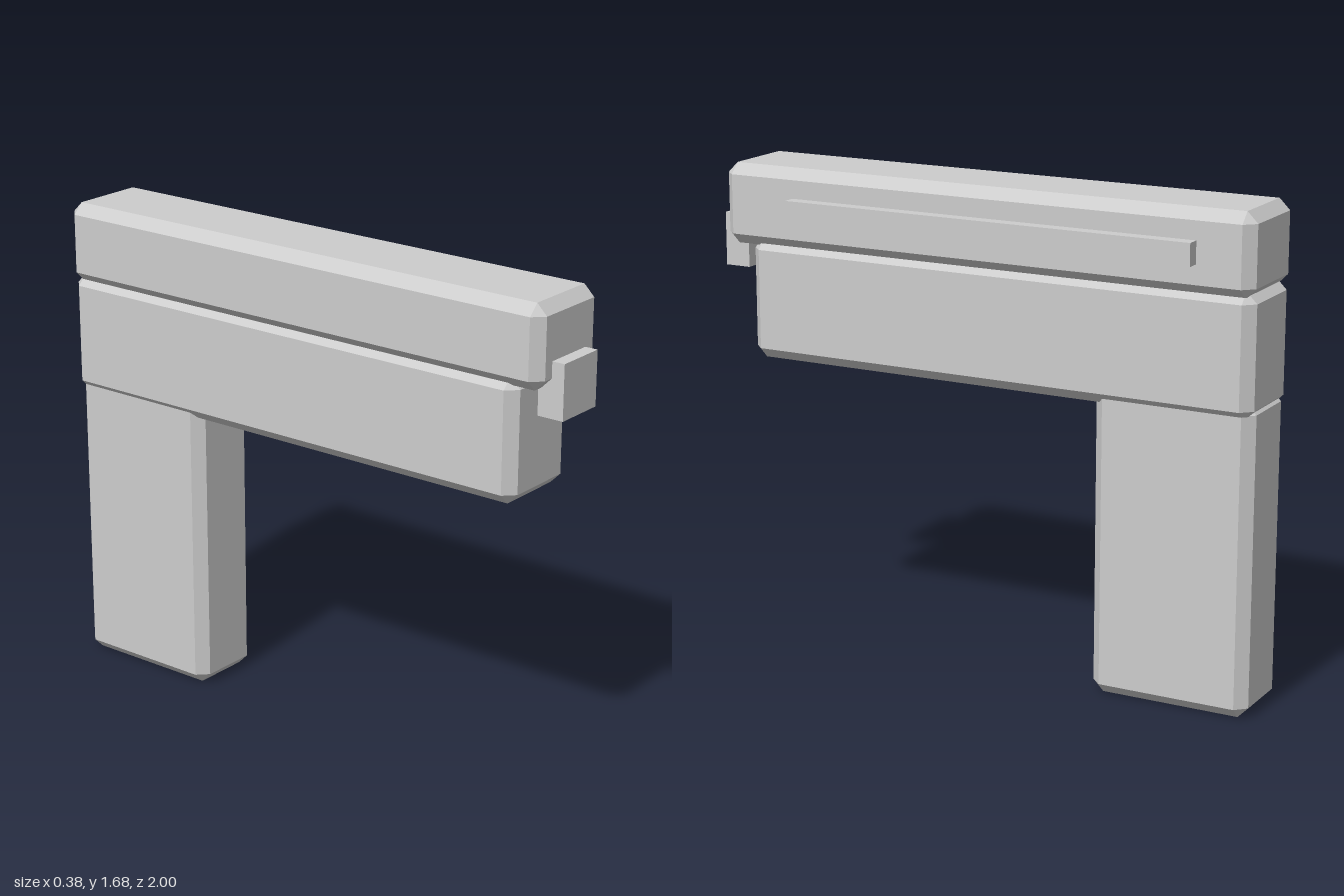
import * as THREE from 'three';
import { ConvexGeometry } from 'three/addons/geometries/ConvexGeometry.js';

const grey = new THREE.MeshStandardMaterial({ color: 0xcccccc });
grey.name = 'light grey';

// Box between two corners with all edges cut at 45 degrees by c
function chamferedBox(min, max, c) {
  const center = min.map((v, i) => (v + max[i]) / 2);
  const half = min.map((v, i) => (max[i] - v) / 2);
  const points = [];
  for (const sx of [-1, 1]) for (const sy of [-1, 1]) for (const sz of [-1, 1]) {
    const s = [sx, sy, sz];
    // three points per corner, each on one of the meeting faces
    for (let face = 0; face < 3; face++) {
      points.push(new THREE.Vector3(...s.map((d, i) => center[i] + d * (half[i] - (i === face ? 0 : c)))));
    }
  }
  return new ConvexGeometry(points);
}

// Plain box between two corners
function plainBox(min, max) {
  const g = new THREE.BoxGeometry(...min.map((v, i) => max[i] - v));
  return g.translate(...min.map((v, i) => (v + max[i]) / 2));
}

export function createModel() {
  const model = new THREE.Group();
  const add = (name, geometry) => {
    const mesh = new THREE.Mesh(geometry, grey);
    mesh.name = name;
    model.add(mesh);
  };
  const c = 0.037;

  // Main blocks with chamfered edges
  add('slide', chamferedBox([-0.19, 1.398, -1], [0.142, 1.677, 0.955], c));
  add('frame', chamferedBox([-0.181, 1.003, -1], [0.132, 1.422, 0.86], c));
  add('grip', chamferedBox([-0.163, 0, -1], [0.112, 1.06, -0.44], c));

  // Square-edged details
  add('muzzle', plainBox([-0.117, 1.305, 0.907], [0.065, 1.49, 1]));
  add('sideRail', plainBox([0.1, 1.501, -0.81], [0.188, 1.577, 0.675]));

  return model;
}
